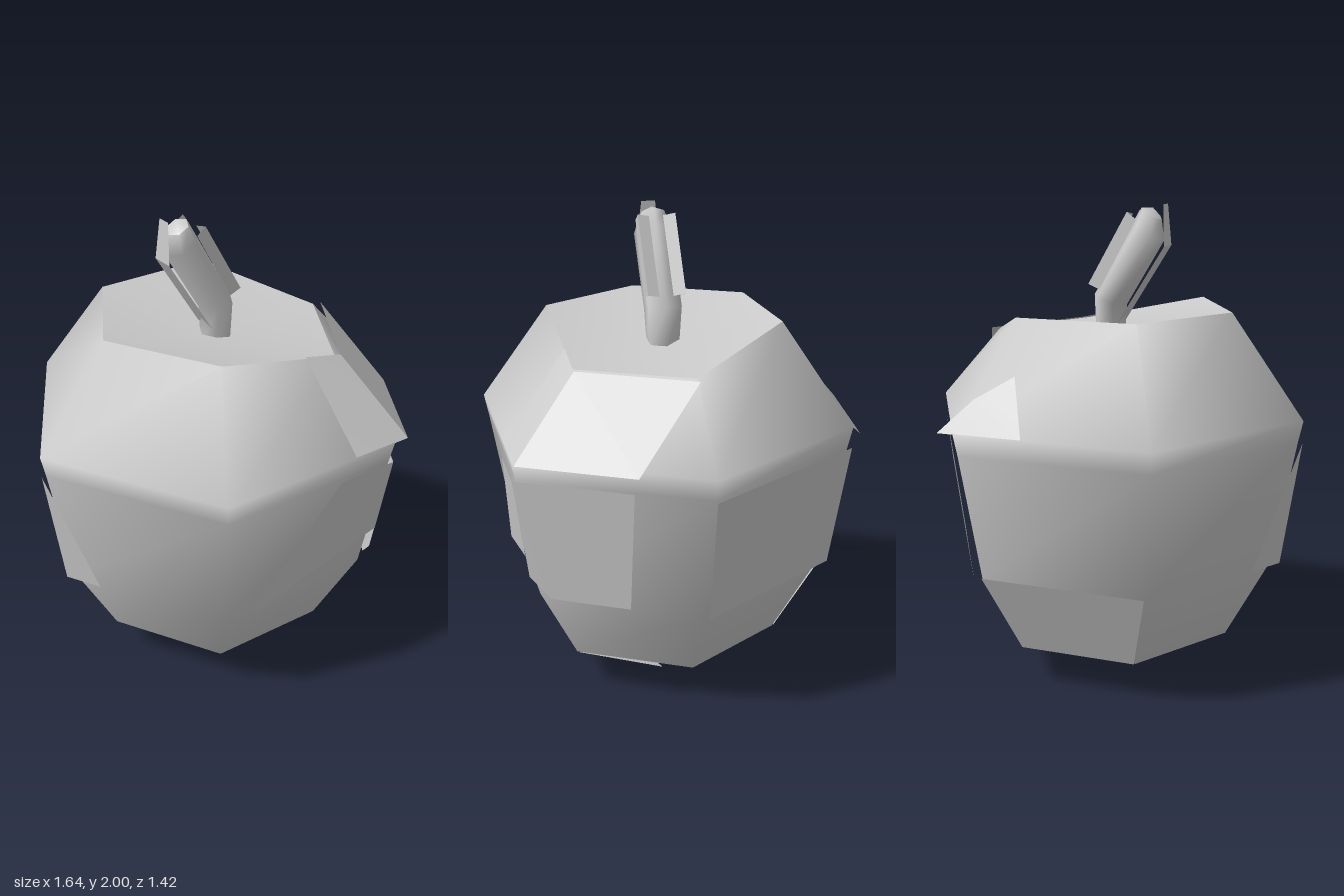
import * as THREE from 'three';

const grey = new THREE.MeshStandardMaterial({ color: 0xcccccc, side: THREE.DoubleSide });

function mesh(name, positions, index) {
  const g = new THREE.BufferGeometry();
  g.setAttribute('position', new THREE.Float32BufferAttribute(positions, 3));
  g.setIndex(index);
  g.computeVertexNormals();
  const m = new THREE.Mesh(g, grey);
  m.name = name;
  return m;
}

// Skin over rings of equal point count, listed from bottom to top
function loft(name, rings) {
  const n = rings[0].length, index = [];
  for (let r = 0; r < rings.length - 1; r++) {
    for (let i = 0; i < n; i++) {
      const a = r * n + i, b = r * n + (i + 1) % n;
      index.push(a, a + n, b, b, a + n, b + n);
    }
  }
  return mesh(name, rings.flat(2), index);
}

// Fan from a single point to a ring
function fan(name, tip, ring, up) {
  const n = ring.length, index = [];
  for (let i = 0; i < n; i++) {
    const a = i + 1, b = (i + 1) % n + 1;
    index.push(0, ...(up ? [b, a] : [a, b]));
  }
  return mesh(name, [tip, ...ring].flat(), index);
}

// Thin flat or folded skin panel
function panel(name, pts) {
  const index = [];
  for (let i = 1; i < pts.length - 1; i++) index.push(0, i, i + 1);
  return mesh(name, pts.flat(), index);
}

const hex = (r, y) => Array.from({ length: 6 }, (_, i) => {
  const a = i * Math.PI / 3;
  return [r * Math.cos(a), y, r * Math.sin(a)];
});

export function createModel() {
  const model = new THREE.Group();

  // Six-sided fruit; two corners of the rim sit lower, at the front right
  const rim = hex(0.51, 1.57);
  rim[0] = [0.54, 1.45, 0];
  rim[1] = [0.3, 1.45, 0.44];
  const bottom = hex(0.51, 0.17);
  const tip = Array.from({ length: 6 }, () => [0, 0, 0]);
  const body = loft('fruitBody', [bottom, hex(0.70, 0.52), hex(0.80, 1.05), hex(0.82, 1.14), rim]);
  model.add(body, loft('fruitBase', [tip, bottom]));
  model.add(fan('fruitTopHollow', [0.03, 1.45, 0], rim, true));

  // Raised skin panels
  model.add(
    panel('upperRightPanel', [[0.33, 1.45, 0.44], [0.48, 1.14, 0.71], [0.73, 1.14, 0.28], [0.58, 1.45, 0]]),
    panel('upperFrontPanel', [[0.15, 1.49, 0.44], [0.21, 1.14, 0.71], [0.48, 1.14, 0.71], [0.33, 1.45, 0.44]]),
    panel('frontPanel', [[0.14, 1.05, 0.71], [-0.23, 0.52, 0.64], [0.38, 0.71, 0.665], [0.41, 1.05, 0.71]]),
    panel('frontRightPanel', [[0.41, 1.05, 0.71], [0.37, 0.61, 0.65], [0.41, 0.52, 0.57], [0.58, 0.52, 0.28], [0.66, 1.05, 0.28]]),
    panel('backRightPanel', [[0.82, 1.05, 0], [0.74, 0.52, 0], [0.37, 0.52, -0.64], [0.41, 1.05, -0.71]]),
    panel('sidePanel', [[-0.82, 1.05, 0], [-0.66, 0.52, -0.14], [-0.74, 0.52, 0]]),
    panel('sidePanelFront', [[-0.82, 1.05, 0], [-0.74, 0.52, 0], [-0.66, 0.52, 0.14]]),
    panel('upperBackPanel', [[0.12, 1.14, -0.71], [0.2, 1.36, -0.58], [0.35, 1.27, -0.64], [0.48, 1.14, -0.71]]),
    panel('lowerBackPanel', [[0.35, 0.52, -0.615], [0.25, 0.17, -0.45], [-0.25, 0.17, -0.45], [-0.35, 0.52, -0.615]]),
    panel('basePanel', [[0.26, 0.17, 0.44], [0.07, 0.01, 0.1], [0.12, 0.03, 0.1], [0.47, 0.17, 0.12]])
  );

  // Bent six-sided stem with a bevelled end
  const ring = (x, y, r, lean) => hex(r, 0).map(([px, , pz]) =>
    [x + px * Math.cos(lean), y + px * Math.sin(lean), pz * 1.1]);
  const end = ring(-0.16, 1.96, 0.05, 0.5);
  const stem = new THREE.Group();
  stem.name = 'stem';
  stem.add(
    loft('stemShaft', [ring(0.02, 1.44, 0.065, 0), ring(0.02, 1.6, 0.075, 0.25), ring(-0.15, 1.89, 0.075, 0.52), end]),
    fan('stemEnd', [-0.165, 1.985, 0], end, true)
  );

  // Bark strips along the leaning part
  for (const s of [-1, 1]) {
    stem.add(panel('barkStrip', [[0.09, 1.67, s * 0.08], [0.04, 1.65, s * 0.08], [-0.12, 1.94, s * 0.08], [-0.08, 1.97, s * 0.08]]));
    stem.add(panel('barkEdge', [[0.09, 1.67, s * 0.08], [-0.08, 1.97, s * 0.08], [-0.09, 1.96, s * 0.03], [0.08, 1.66, s * 0.03]]));
  }
  stem.add(panel('barkBack', [[-0.23, 1.83, 0.05], [-0.03, 1.51, 0.05], [-0.03, 1.51, -0.05], [-0.23, 1.83, -0.05]]));
  stem.add(panel('barkTop', [[-0.23, 1.83, 0.05], [-0.23, 1.83, -0.05], [-0.22, 2, -0.03], [-0.22, 2, 0.03]]));
  model.add(stem);

  return model;
}
